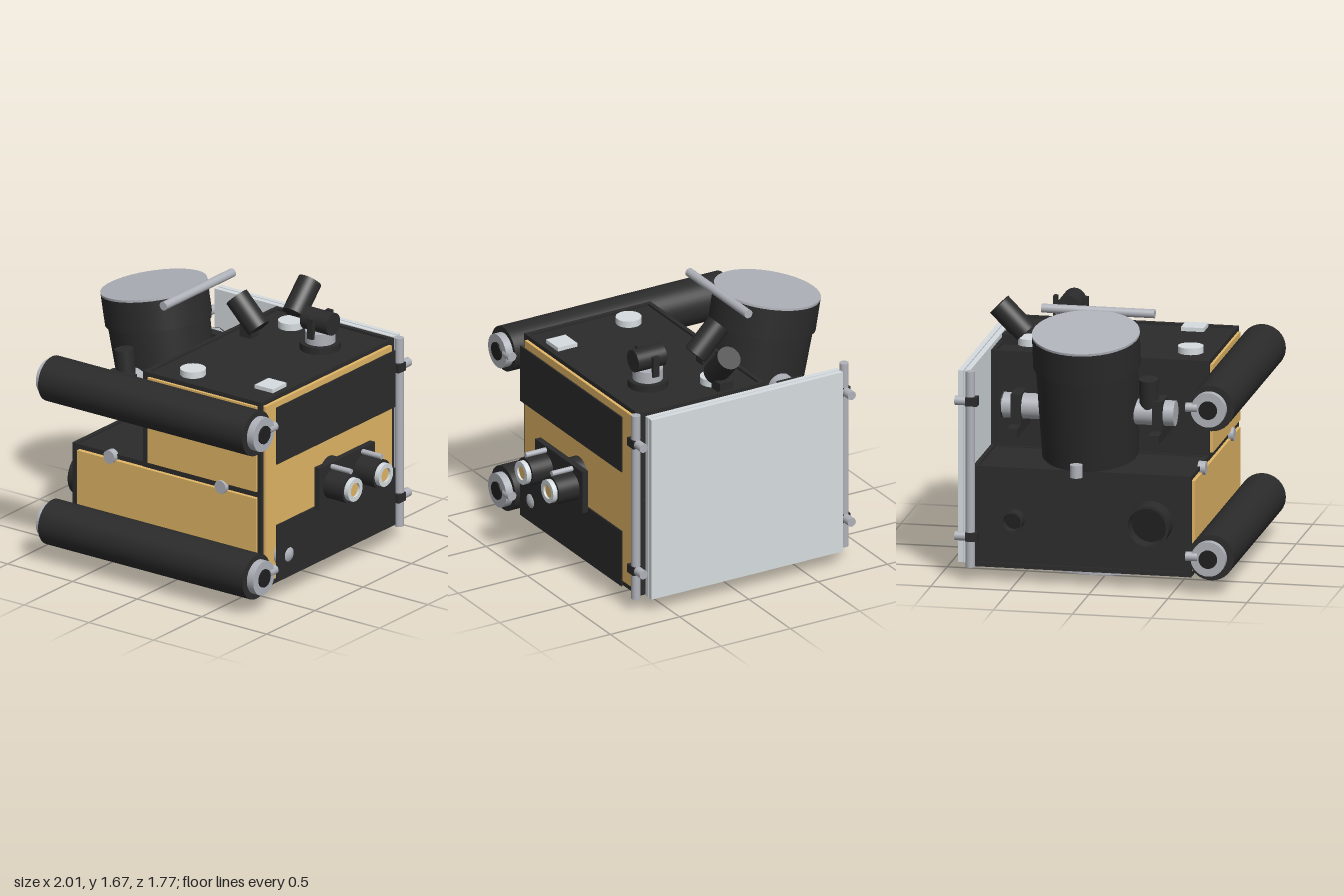
import * as THREE from 'three';

const mat = (name, color) => Object.assign(new THREE.MeshStandardMaterial({ color }), { name });

export function createModel() {
  const dark = mat('charcoal', 0x2b2b2b);
  const black = mat('black', 0x1f1f1f);
  const gold = mat('gold foil', 0xe2b666);
  const grey = mat('grey metal', 0xafb2b9);
  const pale = mat('pale metal', 0xd6dce0);
  const model = new THREE.Group();
  model.name = 'satellite';
  const V = (x, y, z) => new THREE.Vector3(x, y, z);

  const add = (name, geo, material, parent = model) => {
    const m = new THREE.Mesh(geo, material);
    m.name = name;
    parent.add(m);
    return m;
  };
  // box from its two extreme corners
  const box = (name, material, x0, x1, y0, y1, z0, z1, parent) => {
    const m = add(name, new THREE.BoxGeometry(x1 - x0, y1 - y0, z1 - z0), material, parent);
    m.position.set((x0 + x1) / 2, (y0 + y1) / 2, (z0 + z1) / 2);
    return m;
  };
  // turn a +y geometry so that it runs from a towards b
  const aim = (m, a, b) => {
    m.position.copy(a);
    m.quaternion.setFromUnitVectors(V(0, 1, 0), b.clone().sub(a).normalize());
    return m;
  };
  const rod = (name, material, a, b, r, r2 = r) => {
    const h = a.distanceTo(b);
    return aim(add(name, new THREE.CylinderGeometry(r2, r, h, 40).translate(0, h / 2, 0), material), a, b);
  };
  // open pipe with wall thickness
  const pipe = (name, material, a, b, rOut, rIn) => {
    const h = a.distanceTo(b);
    const corners = [[rIn, 0], [rOut, 0], [rOut, h], [rIn, h]].map(p => new THREE.Vector2(...p));
    const group = new THREE.Group();
    group.name = name;
    corners.forEach((p, i) => add(name + 'Face', new THREE.LatheGeometry([p, corners[(i + 1) % 4]], 48), material, group));
    model.add(group);
    return aim(group, a, b);
  };
  // bars along the twelve edges of a box
  const frame = (name, x0, x1, y0, y1, z0, z1, t) => {
    const g = new THREE.Group();
    g.name = name;
    for (const y of [y0, y1 - t]) for (const z of [z0, z1 - t]) box('rail', dark, x0, x1, y, y + t, z, z + t, g);
    for (const x of [x0, x1 - t]) for (const z of [z0, z1 - t]) box('post', dark, x, x + t, y0, y1, z, z + t, g);
    for (const x of [x0, x1 - t]) for (const y of [y0, y1 - t]) box('beam', dark, x, x + t, y, y + t, z0, z1, g);
    model.add(g);
  };

  // L-shaped body with edge frames
  box('lowerBody', dark, -0.78, 0.65, 0.1, 0.72, -0.76, 0.59);
  box('upperBody', dark, -0.235, 0.65, 0.72, 1.32, -0.76, 0.59);
  frame('lowerFrame', -0.795, 0.662, 0.09, 0.733, -0.775, 0.605, 0.028);
  frame('upperFrame', -0.248, 0.662, 0.7, 1.335, -0.775, 0.605, 0.028);

  // foil panels
  box('lowerFrontFoil', gold, -0.75, 0.635, 0.12, 0.695, 0.58, 0.62);
  box('upperFrontFoil', gold, -0.205, 0.635, 0.74, 1.305, 0.58, 0.62);
  box('sideFoil', gold, 0.64, 0.675, 0.13, 1.3, -0.735, 0.578);

  // side radiators on standoffs
  for (const [y0, y1] of [[0.14, 0.515], [0.92, 1.295]]) {
    box('sideRadiator', dark, 0.725, 0.735, y0, y1, -0.69, 0.535);
    rod('standoff', grey, V(0.66, (y0 + y1) / 2, -0.56), V(0.727, (y0 + y1) / 2, -0.56), 0.015);
  }
  add('sideDome', new THREE.SphereGeometry(0.08, 32, 20), grey).position.set(0.67, 0.283, 0.41);

  // rear double panel, corner poles and clamps
  box('rearPanelInner', pale, -0.75, 0.63, 0.1, 1.325, -0.84, -0.805);
  box('rearPanelOuter', pale, -0.75, 0.63, 0.1, 1.325, -0.88, -0.847);
  for (const x of [-0.812, 0.69]) {
    rod('cornerPole', grey, V(x, 0.09, -0.79), V(x, 1.34, -0.79), 0.029);
    for (const y of [0.285, 1.15]) {
      rod('clampPin', grey, V(x, y, -0.77), V(x, y, -0.885), 0.029);
      box('clamp', dark, x - 0.033, x + 0.033, y - 0.028, y + 0.028, -0.815, -0.74);
    }
  }

  // rolled arrays across the front
  for (const y of [0.237, 1.19]) {
    rod('rolledArray', dark, V(-0.85, y, 0.742), V(0.73, y, 0.742), 0.145);
    rod('rollHub', grey, V(-0.9, y, 0.733), V(0.78, y, 0.733), 0.11);
    rod('rollAxle', black, V(-0.91, y, 0.733), V(0.79, y, 0.733), 0.058);
    for (const x of [-0.883, 0.757]) rod('rollArm', grey, V(x, y + 0.01, 0.59), V(x, y + 0.01, 0.665), 0.03);
  }
  for (const x of [-0.49, 0.37]) rod('frontButton', grey, V(x, 0.715, 0.59), V(x, 0.715, 0.637), 0.043);

  // tilted telescope on the step
  const tilt = 10 * Math.PI / 180, foot = V(-0.54, 0.79, -0.085);
  const along = d => foot.clone().add(V(-Math.sin(tilt) * d, Math.cos(tilt) * d, 0));
  rod('telescopeBarrel', dark, foot, along(0.62), 0.3, 0.32);
  rod('telescopeHood', dark, along(0.6), along(0.8), 0.335);
  rod('telescopeLid', grey, along(0.8), along(0.815), 0.335);
  rod('lidHinge', grey, V(-0.335, 1.643, -0.435), V(-0.335, 1.643, 0.28), 0.028);
  rod('telescopeBase', dark, V(-0.53, 0.72, -0.085), V(-0.53, 0.8, -0.085), 0.16);

  // trunnion with bracket at each end
  rod('trunnion', grey, V(-0.59, 1.08, -0.625), V(-0.59, 1.08, 0.465), 0.08);
  rod('trunnionCap', dark, V(-0.59, 1.08, -0.62), V(-0.59, 1.08, -0.63), 0.08);
  for (const z of [-0.53, 0.365]) {
    box('trunnionBar', dark, -0.79, -0.37, 0.92, 0.98, z - 0.033, z + 0.033);
    box('trunnionClamp', dark, -0.68, -0.5, 0.97, 1.17, z - 0.033, z + 0.033);
  }
  rod('trunnionMotor', dark, V(-0.6, 1.08, 0.3), V(-0.625, 1.3, 0.3), 0.06);
  rod('sidePin', grey, V(-0.9, 0.72, -0.1), V(-0.9, 0.8, -0.1), 0.04);

  // hollow ports on the left wall
  for (const [y, z, r, x] of [[0.425, 0.35, 0.137, -0.92], [0.4, -0.515, 0.065, -0.87]]) {
    pipe('port', dark, V(-0.78, y, z), V(x, y, z), r, r * 0.88);
    rod('portFloor', black, V(-0.77, y, z), V(-0.8, y, z), r * 0.88);
  }

  // twin star trackers
  rod('trackerMount', dark, V(0.66, 0.67, -0.083), V(0.745, 0.67, -0.083), 0.1);
  rod('trackerStem', dark, V(0.74, 0.67, -0.083), V(0.79, 0.67, -0.083), 0.07);
  box('trackerPlate', dark, 0.78, 0.82, 0.53, 0.81, -0.365, 0.208);
  for (const z of [-0.237, 0.08]) {
    rod('trackerBarrel', dark, V(0.82, 0.67, z), V(0.968, 0.67, z), 0.092);
    pipe('trackerRim', pale, V(0.95, 0.67, z), V(1, 0.67, z), 0.075, 0.046);
    rod('trackerLens', gold, V(0.95, 0.67, z), V(0.985, 0.67, z), 0.046);
    rod('trackerRod', grey, V(0.82, 0.785, z), V(0.968, 0.785, z), 0.017);
  }

  // roof fittings
  rod('roofDisc', pale, V(0.01, 1.32, 0.435), V(0.01, 1.362, 0.435), 0.08);
  box('roofPatch', pale, 0.475, 0.615, 1.33, 1.355, 0.275, 0.42);
  rod('rearSensorBase', pale, V(0.01, 1.32, -0.58), V(0.01, 1.365, -0.58), 0.08);
  box('rearSensorFoot', dark, -0.04, 0.06, 1.32, 1.385, -0.75, -0.65);
  rod('rearSensor', dark, V(0.01, 1.393, -0.61), V(0.01, 1.563, -0.777), 0.077);
  box('sideSensorFoot', dark, -0.15, -0.06, 1.32, 1.4, -0.34, -0.26);
  rod('sideSensor', dark, V(-0.03, 1.385, -0.3), V(-0.2, 1.555, -0.3), 0.077);

  // pivoting camera
  rod('cameraBase', dark, V(0.37, 1.32, -0.4), V(0.37, 1.365, -0.4), 0.128);
  rod('cameraTurntable', grey, V(0.37, 1.36, -0.4), V(0.37, 1.44, -0.4), 0.095);
  rod('camera', dark, V(0.27, 1.5, -0.395), V(0.475, 1.5, -0.395), 0.072);
  for (const z of [-0.3, -0.495]) box('cameraYoke', dark, 0.35, 0.395, 1.41, 1.545, z - 0.012, z + 0.012);

  // docking ring and patches underneath
  pipe('dockingRing', grey, V(-0.06, 0.012, -0.075), V(-0.06, 0.1, -0.075), 0.437, 0.39);
  pipe('dockingFlange', grey, V(-0.06, 0, -0.075), V(-0.06, 0.016, -0.075), 0.455, 0.39);
  for (const [x, z, w, d] of [[0.016, -0.145, 0.3, 0.26], [-0.27, -0.22, 0.15, 0.15], [-0.28, 0.17, 0.14, 0.14], [-0.55, 0.4, 0.14, 0.14]])
    box('bellyPatch', pale, x - w / 2, x + w / 2, 0.075, 0.11, z - d / 2, z + d / 2);

  return model;
}
